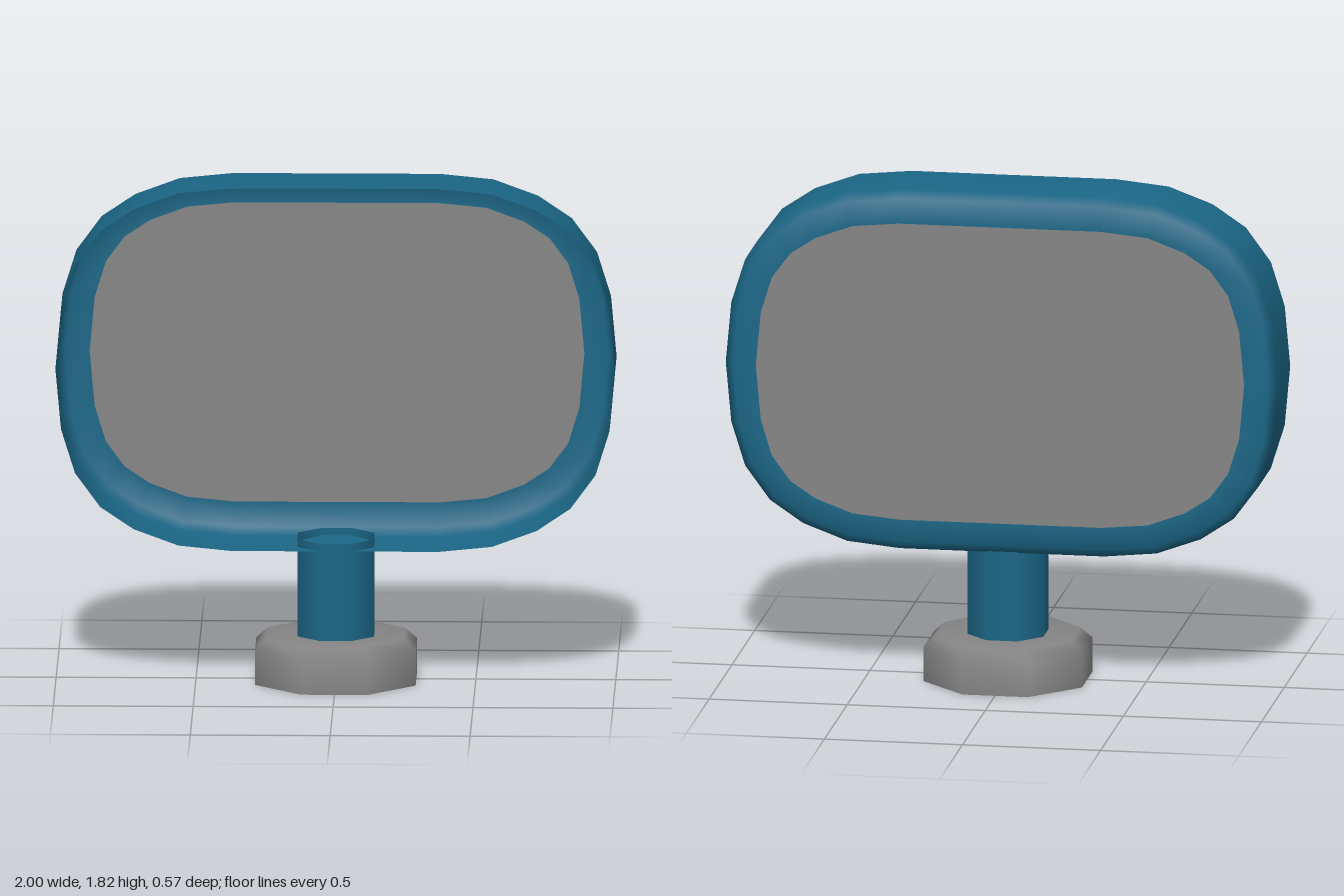
import * as THREE from 'three';

const CENTRE_Y = 1.153;
const grey = new THREE.MeshStandardMaterial({ color: 0x858585, side: THREE.DoubleSide });
const blue = new THREE.MeshStandardMaterial({ color: 0x1b6787, side: THREE.DoubleSide });

function addMesh(group, name, geometry, material) {
  const mesh = new THREE.Mesh(geometry, material);
  mesh.name = name;
  group.add(mesh);
  return mesh;
}

// Rounded outline, counter-clockwise, mirrored from one quarter.
function makeOutline() {
  const quarter = [[1, 0], [0.98, 0.22], [0.93, 0.38], [0.84, 0.503], [0.72, 0.584], [0.56, 0.643], [0.37, 0.662]];
  const upper = [...quarter, ...quarter.map(([x, y]) => [-x, y]).reverse()];
  const lower = upper.slice(1, -1).map(([x, y]) => [x, -y]).reverse();
  return [...upper, ...lower].map(([x, y]) => new THREE.Vector2(x, y));
}

// Moves every outline point inwards along its normal.
function insetOutline(points, distance) {
  const n = points.length;
  return points.map((p, i) => {
    const along = points[(i + 1) % n].clone().sub(points[(i + n - 1) % n]).normalize();
    return new THREE.Vector2(p.x - along.y * distance, p.y + along.x * distance);
  });
}

// Joins outline rings, given as [inset, z] from front to back.
function shellGeometry(outline, rings) {
  const n = outline.length, positions = [], indices = [];
  for (const [inset, z] of rings) {
    for (const p of insetOutline(outline, inset)) positions.push(p.x, p.y, z);
  }
  for (let r = 0; r < rings.length - 1; r++) {
    for (let i = 0; i < n; i++) {
      const a = r * n + i, b = r * n + (i + 1) % n;
      indices.push(a, a + n, b, b, a + n, b + n);
    }
  }
  const geometry = new THREE.BufferGeometry();
  geometry.setAttribute('position', new THREE.Float32BufferAttribute(positions, 3));
  geometry.setIndex(indices);
  geometry.computeVertexNormals();
  // The last ring blends smoothly into the flat back
  const normal = geometry.attributes.normal;
  for (let i = normal.count - n; i < normal.count; i++) normal.setXYZ(i, 0, 0, -1);
  return geometry;
}

// Eight-sided turned part; profile radii are measured to the flats.
function octagonLathe(profile) {
  const k = 1 / Math.cos(Math.PI / 8);
  const points = profile.map(([r, y]) => new THREE.Vector2(r * k, y));
  return new THREE.LatheGeometry(points, 8, Math.PI / 8);
}

export function createModel() {
  const model = new THREE.Group();
  model.name = 'mirror';
  const outline = makeOutline();

  // Housing, open at the front, with a bevelled back edge
  const rings = [[0, 0.132], [0, -0.135], [0.03, -0.156], [0.116, -0.178]];
  addMesh(model, 'housing', shellGeometry(outline, rings), blue).position.y = CENTRE_Y;

  // Flat pane closing the back of the housing
  const pane = new THREE.ShapeGeometry(new THREE.Shape(insetOutline(outline, 0.116)));
  addMesh(model, 'pane', pane, grey).position.set(0, CENTRE_Y, -0.178);

  // Open tube joining the base to the housing
  addMesh(model, 'stem', octagonLathe([[0.137, 0.165], [0.137, 0.52]]), blue);

  // Hollow collar at the foot, chamfered at the top
  addMesh(model, 'base', octagonLathe([[0.287, 0], [0.287, 0.125], [0.245, 0.165], [0.137, 0.165]]), grey);

  return model;
}
